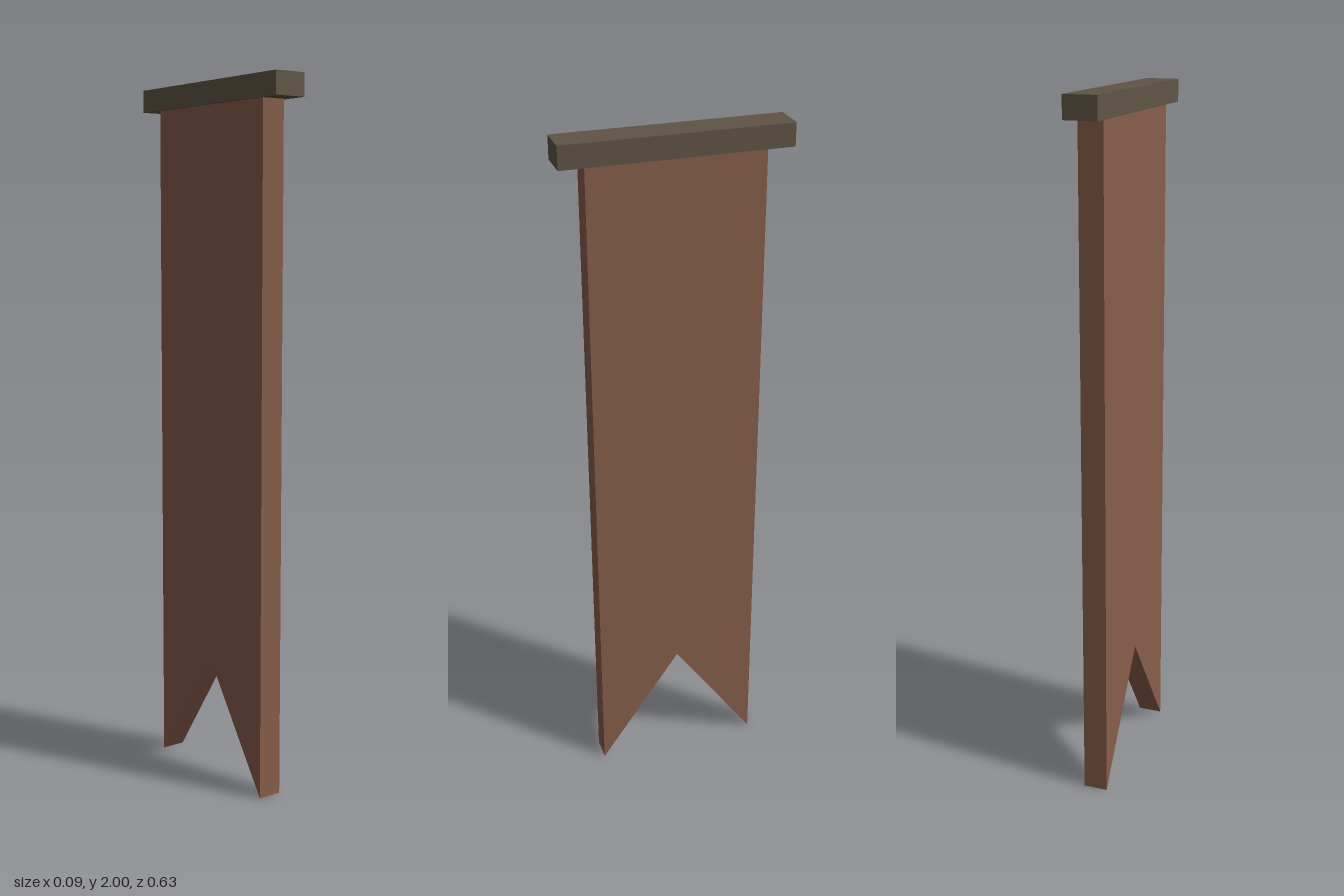
import * as THREE from 'three';

const BAR = { width: 0.095, height: 0.063, length: 0.626 };
const CLOTH = { half: 0.243, thickness: 0.07, notch: 0.355 };

export function createModel() {
  const group = new THREE.Group();
  group.name = 'hangingBanner';
  const barBottom = 2 - BAR.height;

  // Wooden bar along the top
  const bar = new THREE.Mesh(
    new THREE.BoxGeometry(BAR.width, BAR.height, BAR.length),
    new THREE.MeshStandardMaterial({ color: 0x5f5545, flatShading: true })
  );
  bar.name = 'topBar';
  bar.position.y = barBottom + BAR.height / 2;
  group.add(bar);

  // Swallow-tailed cloth, extruded and turned so its broad faces look along x
  const outline = new THREE.Shape([
    new THREE.Vector2(-CLOTH.half, 0),
    new THREE.Vector2(0, CLOTH.notch),
    new THREE.Vector2(CLOTH.half, 0),
    new THREE.Vector2(CLOTH.half, barBottom),
    new THREE.Vector2(-CLOTH.half, barBottom),
  ]);
  const geometry = new THREE.ExtrudeGeometry(outline, { depth: CLOTH.thickness, bevelEnabled: false });
  geometry.translate(0, 0, -CLOTH.thickness / 2).rotateY(Math.PI / 2);
  const cloth = new THREE.Mesh(
    geometry,
    new THREE.MeshStandardMaterial({ color: 0x885e4b, flatShading: true })
  );
  cloth.name = 'bannerCloth';
  group.add(cloth);

  return group;
}
